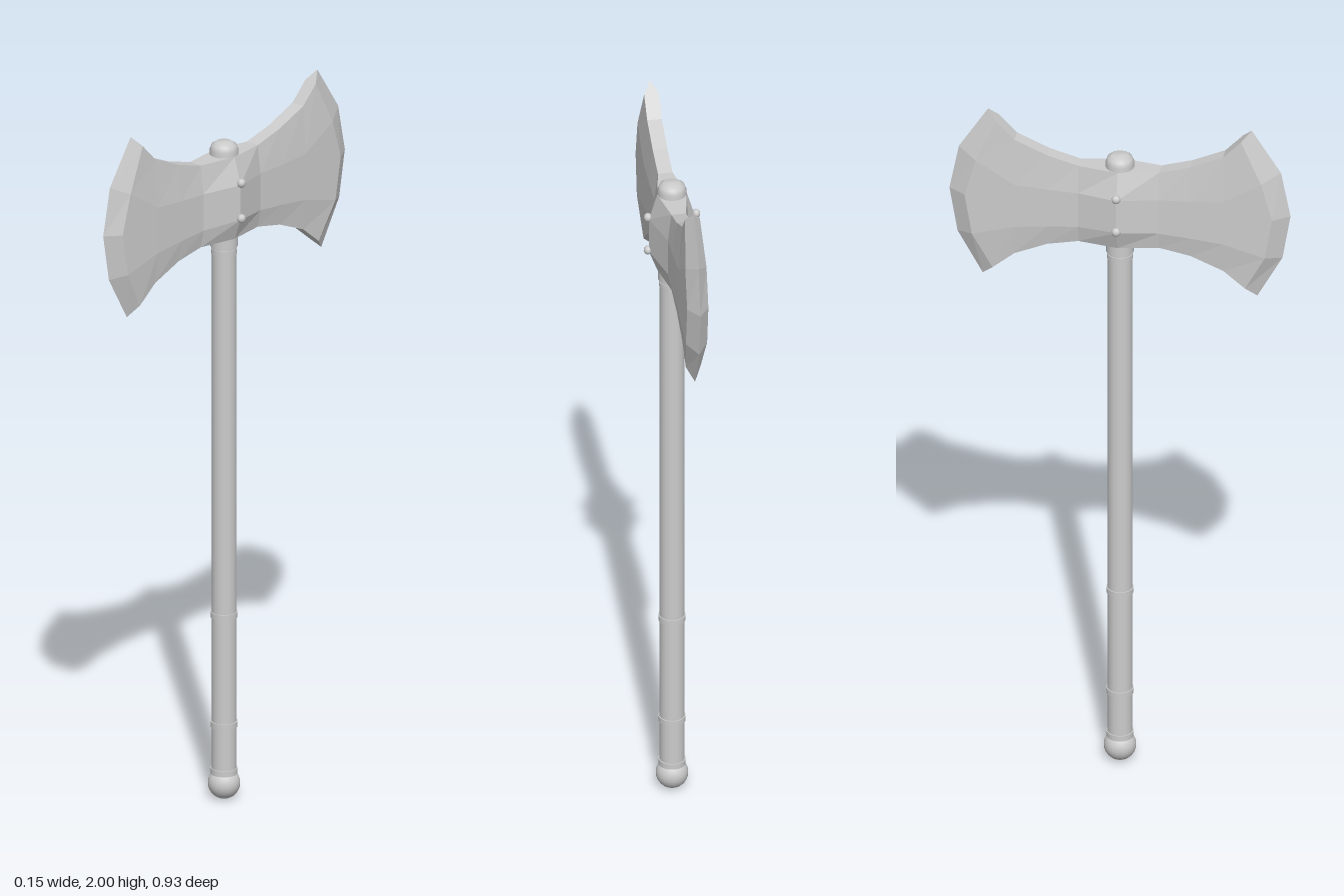
import * as THREE from 'three';

const steel = new THREE.MeshStandardMaterial({ color: 0xcccccc });
const facetedSteel = new THREE.MeshStandardMaterial({ color: 0xcccccc, flatShading: true });

// Half-head columns from the centre to the cutting edge.
// Five rows each, top to bottom: z values, y values, half thickness at rim and middle.
const columns = [
  { z: [0, 0, 0, 0, 0], y: [1.855, 1.78, 1.73, 1.68, 1.62], rim: 0.04, mid: 0.063 },
  { z: [0.11, 0.11, 0.11, 0.11, 0.11], y: [1.855, 1.775, 1.73, 1.67, 1.62], rim: 0.02, mid: 0.03 },
  { z: [0.195, 0.195, 0.195, 0.195, 0.195], y: [1.88, 1.778, 1.735, 1.663, 1.603], rim: 0.02, mid: 0.03 },
  { z: [0.285, 0.285, 0.285, 0.285, 0.285], y: [1.92, 1.785, 1.738, 1.653, 1.565], rim: 0.02, mid: 0.03 },
  { z: [0.334, 0.39, 0.42, 0.4, 0.345], y: [1.972, 1.85, 1.74, 1.62, 1.515], rim: 0.02, mid: 0.029 },
  { z: [0.36, 0.44, 0.466, 0.444, 0.375], y: [2.0, 1.875, 1.742, 1.61, 1.485], rim: 0, mid: 0 },
];

// Double-bladed head: closed cross-sections joined from one cutting edge to the other
function headGeometry() {
  const sections = [];
  for (let k = -5; k <= 5; k++) {
    const c = columns[Math.abs(k)];
    const loop = [];
    for (let i = 0; i < 10; i++) {
      const side = i < 5 ? 1 : -1;
      const row = i < 5 ? i : 9 - i;
      const half = row === 0 || row === 4 ? c.rim : c.mid;
      loop.push([side * half, c.y[row], Math.sign(k) * c.z[row]]);
    }
    sections.push(loop);
  }
  const positions = [];
  for (let j = 0; j < sections.length - 1; j++) {
    for (let i = 0; i < 10; i++) {
      const n = (i + 1) % 10;
      const a = sections[j][i], b = sections[j][n];
      const c = sections[j + 1][n], d = sections[j + 1][i];
      // the first and last strips taper to the edge, so skip collapsed triangles
      if (!(j === 9 && (i === 4 || i === 9))) positions.push(...a, ...d, ...c);
      if (!(j === 0 && (i === 4 || i === 9))) positions.push(...a, ...c, ...b);
    }
  }
  const geometry = new THREE.BufferGeometry();
  geometry.setAttribute('position', new THREE.Float32BufferAttribute(positions, 3));
  geometry.computeVertexNormals();
  return geometry;
}

export function createModel() {
  const group = new THREE.Group();
  const add = (name, geometry, x, y, z, material = steel) => {
    const mesh = new THREE.Mesh(geometry, material);
    mesh.name = name;
    mesh.position.set(x, y, z);
    group.add(mesh);
    return mesh;
  };

  add('axeHead', headGeometry(), 0, 0, 0, facetedSteel);

  // Shaft
  add('shaft', new THREE.CylinderGeometry(0.034, 0.034, 1.8, 20), 0, 0.95, 0);

  // Pommel ball
  add('pommel', new THREE.SphereGeometry(0.044, 20, 14), 0, 0.044, 0);

  // Grip bands, with the last one just above the pommel
  for (const y of [0.08, 0.215, 0.53]) {
    add('gripBand', new THREE.CylinderGeometry(0.037, 0.037, 0.016, 20), 0, y, 0);
  }

  // Collar below the head
  add('collar', new THREE.CylinderGeometry(0.038, 0.038, 0.038, 20), 0, 1.61, 0);
  add('collarBand', new THREE.CylinderGeometry(0.036, 0.036, 0.014, 20), 0, 1.578, 0);

  // Rounded cap on top of the shaft
  const capProfile = [[0.039, 1.835], [0.039, 1.868], [0.034, 1.882], [0.022, 1.89], [0, 1.892]]
    .map(([r, y]) => new THREE.Vector2(r, y));
  add('topCap', new THREE.LatheGeometry(capProfile, 20), 0, 0, 0);

  // Rivets on both faces of the head
  for (const side of [1, -1]) {
    for (const y of [1.787, 1.685]) {
      const rivet = add('rivet', new THREE.SphereGeometry(0.0125, 12, 8), side * 0.066, y, 0);
      rivet.scale.set(0.9, 1, 1);
    }
  }
  return group;
}
